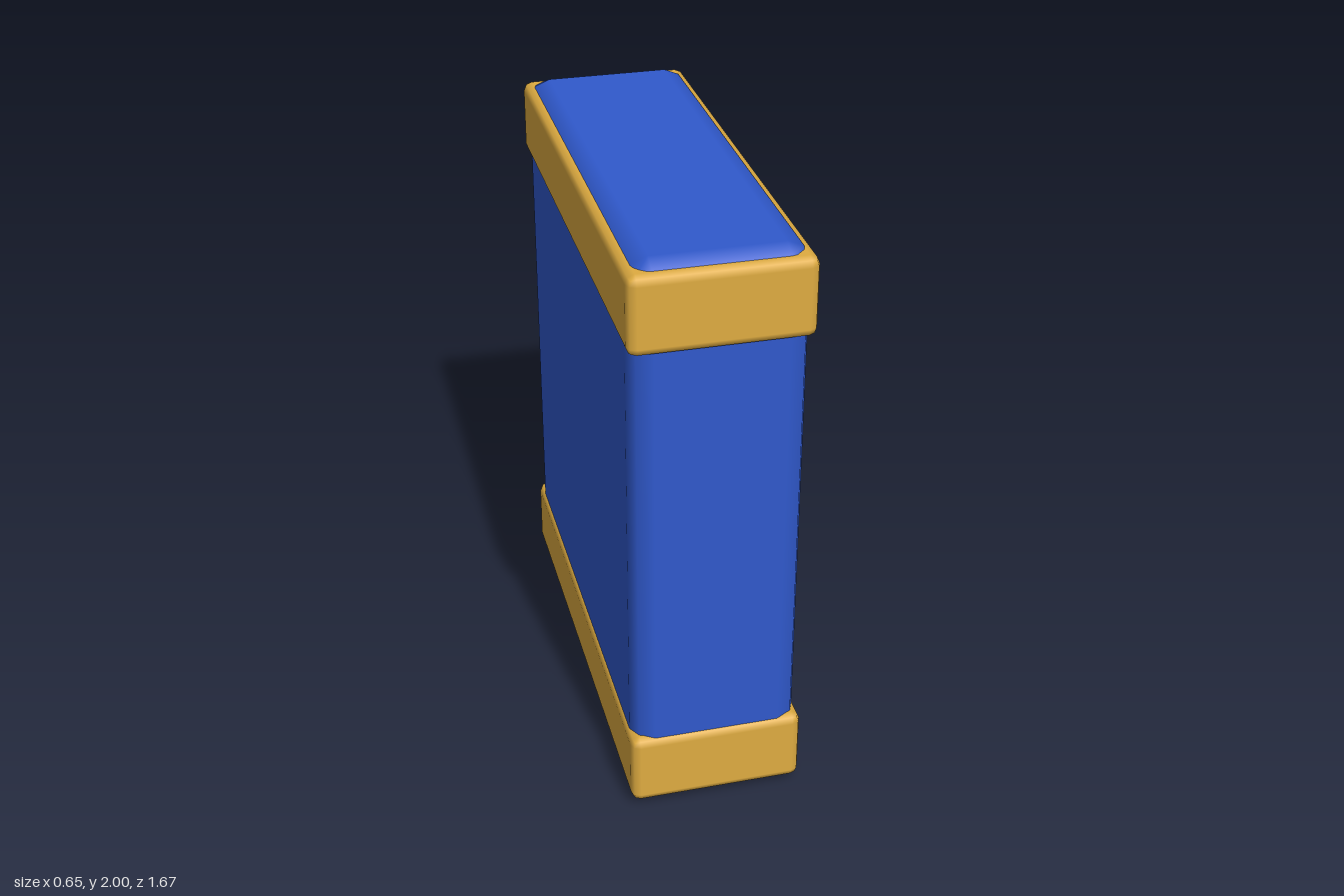
import * as THREE from 'three';
import { RoundedBoxGeometry } from 'three/addons/geometries/RoundedBoxGeometry.js';

const flat = (name, color) => {
  const m = new THREE.MeshStandardMaterial({ color });
  m.name = name;
  return m;
};

export function createModel() {
  const group = new THREE.Group();
  const blue = flat('cover blue', 0x3059cc);
  const gold = flat('gold', 0xdfac41);
  const darkGold = flat('dark gold', 0xc2963a);
  const paper = flat('paper', 0xd6ccb6);

  const add = (name, geometry, material, x, y, z) => {
    const mesh = new THREE.Mesh(geometry, material);
    mesh.name = name;
    mesh.position.set(x, y, z);
    group.add(mesh);
    return mesh;
  };

  // Main block of the book
  add('cover', new RoundedBoxGeometry(0.56, 2, 1.62, 1, 0.072), blue, -0.035, 1, 0.01);

  // Bands around the top and bottom
  for (const [name, y] of [['bottomBand', 0.16], ['topBand', 1.845]]) {
    add(name, new RoundedBoxGeometry(0.58, 0.26, 1.65, 1, 0.03), gold, -0.035, y, 0.01);
  }

  // Page edges showing at the back
  add('pages', new RoundedBoxGeometry(0.38, 1.89, 0.12, 1, 0.02), paper, -0.035, 1, -0.775);

  // Four-pointed star on the left face, with a darker lower tip
  const split = -0.195, half = 0.076, inner = 0.105, outer = 0.435;
  const starPart = (name, points, material) => {
    const shape = new THREE.Shape(points.map(([x, y]) => new THREE.Vector2(x, y)));
    const geometry = new THREE.ExtrudeGeometry(shape, { depth: 0.085, bevelEnabled: false });
    geometry.rotateY(Math.PI / 2);
    add(name, geometry, material, 0.24, 1.005, 0.01);
  };
  starPart('star', [
    [half, split], [inner, -inner], [outer, 0], [inner, inner], [0, outer],
    [-inner, inner], [-outer, 0], [-inner, -inner], [-half, split],
  ], gold);
  starPart('starTip', [[0, -outer], [half, split], [-half, split]], darkGold);

  return group;
}
